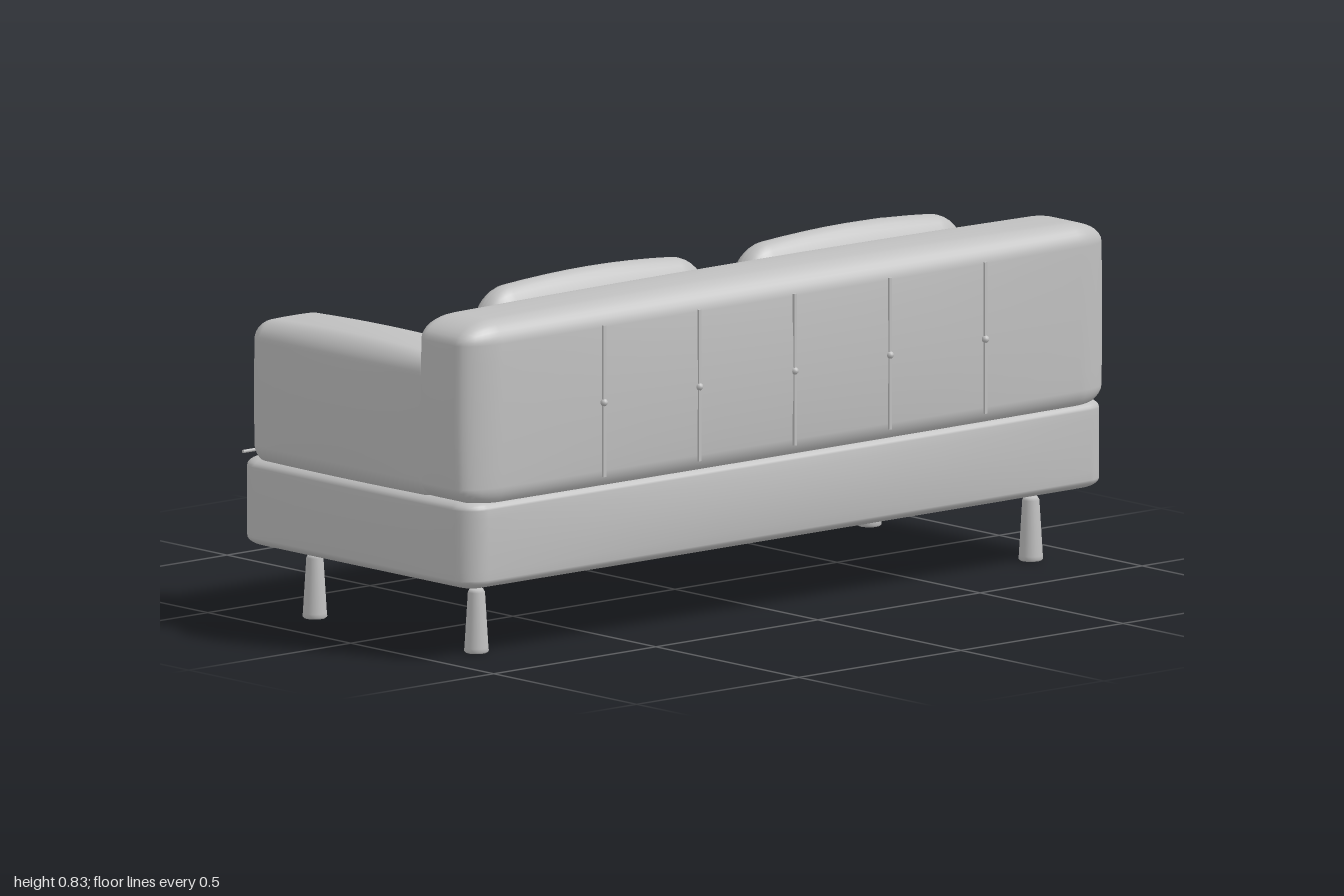
import * as THREE from 'three';
import { mergeVertices } from 'three/addons/utils/BufferGeometryUtils.js';

// Upholstered block: limits per axis, edge radii per axis, outward bulge per axis
function softBlock(min, max, radius, bulge) {
  const n = 16, k = 4;
  const geo = new THREE.BoxGeometry(2, 2, 2, n, n, n);
  geo.deleteAttribute('uv');
  geo.deleteAttribute('normal');
  const merged = mergeVertices(geo);
  const pos = merged.attributes.position;
  const half = min.map((m, i) => (max[i] - m) / 2 - bulge[i]);
  const mid = min.map((m, i) => (max[i] + m) / 2);
  for (let v = 0; v < pos.count; v++) {
    const p = [pos.getX(v), pos.getY(v), pos.getZ(v)];
    const inner = [], d = [];
    p.forEach((c, i) => {
      // the last k rows of the grid make the rounded edge
      const row = Math.round(Math.abs(c) * n / 2), flat = n / 2 - k, s = Math.sign(c);
      inner[i] = s * (half[i] - radius[i]) * Math.min(row / flat, 1);
      d[i] = s * Math.tan(Math.max(0, row - flat) / k * Math.PI / 4);
    });
    const len = Math.hypot(...d) || 1;
    const q = inner.map((c, i) => c + radius[i] * d[i] / len);
    const fall = q.map((c, i) => Math.max(0, 1 - (c / half[i]) ** 2));
    const out = q.map((c, i) =>
      mid[i] + c + bulge[i] * (c / half[i]) * fall[(i + 1) % 3] * fall[(i + 2) % 3]);
    pos.setXYZ(v, ...out);
  }
  merged.computeVertexNormals();
  return merged;
}

export function createModel() {
  const sofa = new THREE.Group();
  sofa.name = 'sofa';
  const fabric = new THREE.MeshStandardMaterial({ color: 0xc0c0c0 });
  fabric.name = 'light grey';

  const add = (name, geo, x = 0, y = 0, z = 0) => {
    const mesh = new THREE.Mesh(geo, fabric);
    mesh.name = name;
    mesh.position.set(x, y, z);
    sofa.add(mesh);
    return mesh;
  };

  // Frame and backrest
  add('base', softBlock([-0.992, 0.167, -0.425], [0.992, 0.39, 0.412], [0.06, 0.025, 0.06], [0.004, 0.004, 0.012]));
  add('seatDeck', softBlock([-0.78, 0.37, -0.24], [0.78, 0.405, 0.22], [0.01, 0.01, 0.01], [0, 0, 0]));
  add('backrest', softBlock([-0.997, 0.35, 0.185], [0.997, 0.812, 0.42], [0.1, 0.05, 0.05], [0.006, 0.012, 0.014]));

  // Arms, cushions and legs on both sides
  for (const s of [-1, 1]) {
    const span = (a, b) => (s > 0 ? [a, b] : [-b, -a]);
    const block = (name, [x0, x1], [y0, y1], [z0, z1], radius, bulge) =>
      add(name, softBlock([x0, y0, z0], [x1, y1, z1], radius, bulge));

    block('arm', span(0.77, 0.996), [0.355, 0.72], [-0.387, 0.28], [0.045, 0.045, 0.045], [0.008, 0.014, 0.01]);
    block('seatCushion', span(0.02, 0.775), [0.385, 0.52], [-0.333, 0.165], [0.09, 0.05, 0.09], [0.008, 0.012, 0.008]);
    block('backCushion', span(0.055, 0.742), [0.47, 0.834], [0.09, 0.215], [0.08, 0.075, 0.045], [0.006, 0.02, 0.012]);

    for (const z of [0.275, -0.29]) {
      const profile = [[0, 0], [0.025, 0], [0.029, 0.004], [0.028, 0.012], [0.02, 0.142], [0.016, 0.15], [0, 0.15]];
      add('leg', new THREE.LatheGeometry(profile.map(([r, y]) => new THREE.Vector2(r, y)), 20), s * 0.855, 0, z);
    }
  }

  // Seam and button lines down the outside of the backrest
  for (let i = -2; i <= 2; i++) {
    add('seam', new THREE.BoxGeometry(0.008, 0.357, 0.006), i * 0.294, 0.578, 0.419);
    add('button', new THREE.SphereGeometry(0.009, 10, 8), i * 0.294, 0.575, 0.419);
  }

  // Piping along the seat edge
  const piping = add('piping', new THREE.CylinderGeometry(0.004, 0.004, 1.95, 8), 0, 0.39, -0.405);
  piping.rotation.z = Math.PI / 2;
  return sofa;
}
